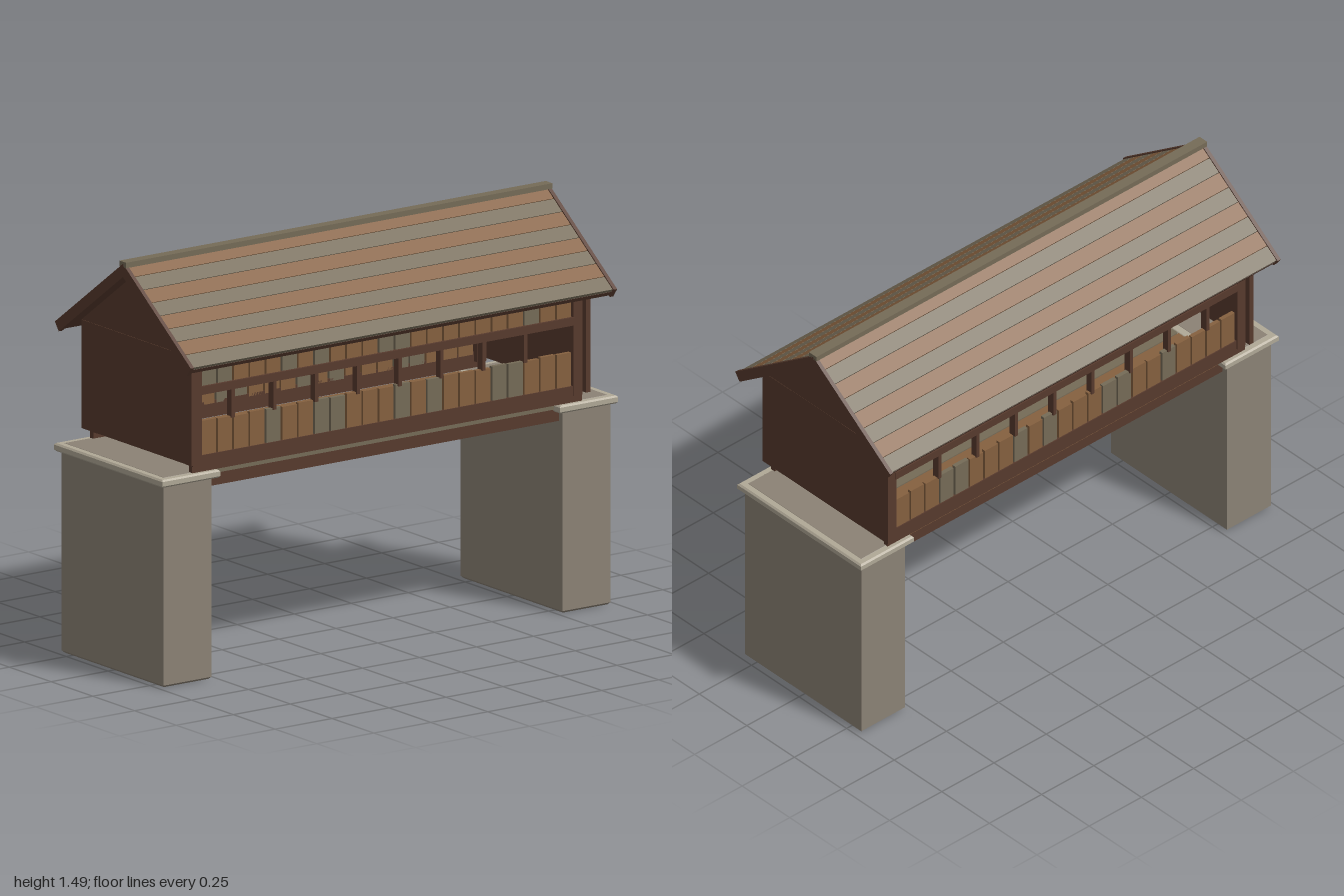
import * as THREE from 'three';

const mat = (name, color) => Object.assign(new THREE.MeshStandardMaterial({ color }), { name });

export function createModel() {
  const model = new THREE.Group();
  model.name = 'coveredBridge';
  const timber = mat('dark timber', 0x573a2d);
  const brown = mat('brown board', 0x85603f);
  const olive = mat('weathered board', 0x756b57);
  const stone = mat('pier stone', 0x8b8275);
  const capStone = mat('cap stone', 0xb0a896);

  // box given by its limits on each axis
  const box = (name, m, x0, x1, y0, y1, z0, z1, parent = model) => {
    const mesh = new THREE.Mesh(new THREE.BoxGeometry(x1 - x0, y1 - y0, z1 - z0), m);
    mesh.position.set((x0 + x1) / 2, (y0 + y1) / 2, (z0 + z1) / 2);
    mesh.name = name;
    parent.add(mesh);
    return mesh;
  };

  // block with small bevels on all edges, standing on y0
  const bevelBlock = (name, m, cx, w, y0, y1, d, b) => {
    const s = new THREE.Shape();
    const hx = w / 2 - b, hz = d / 2 - b;
    s.moveTo(-hx, -hz).lineTo(hx, -hz).lineTo(hx, hz).lineTo(-hx, hz).closePath();
    const g = new THREE.ExtrudeGeometry(s, {
      depth: y1 - y0 - 2 * b, bevelEnabled: true, bevelThickness: b, bevelSize: b, bevelSegments: 1,
    });
    g.rotateX(-Math.PI / 2);
    const mesh = new THREE.Mesh(g, m);
    mesh.position.set(cx, y0 + b, 0);
    mesh.name = name;
    model.add(mesh);
  };

  // piers with caps; the pier core shows just above the cap
  for (const s of [-1, 1]) {
    bevelBlock('pier', stone, s * 0.875, 0.21, 0, 0.767, 0.61, 0.008);
    bevelBlock('pierCap', capStone, s * 0.8725, 0.255, 0.737, 0.766, 0.65, 0.006);
  }

  // stringers and lengthwise deck planks
  for (const z of [-0.26, 0, 0.26]) box('stringer', timber, -0.775, 0.775, 0.7, 0.746, z - 0.023, z + 0.023);
  for (let i = 0; i < 8; i++) {
    const z = -0.29 + i * 0.0725;
    box('deckPlank', i % 2 ? olive : brown, -0.77, 0.77, 0.746, 0.764, z + 0.002, z + 0.0705);
  }

  // side walls
  const tones = [0, 0, 0, 0, 1, 0, 0, 1, 1, 0, 0, 0, 1, 0, 1, 0, 0, 0, 1, 1, 0, 0, 0];
  for (const s of [-1, 1]) {
    const wall = new THREE.Group();
    wall.name = s > 0 ? 'frontWall' : 'backWall';
    model.add(wall);
    const part = (name, m, x0, x1, y0, y1, za, zb) =>
      box(name, m, x0, x1, y0, y1, Math.min(s * za, s * zb), Math.max(s * za, s * zb), wall);
    part('sill', timber, -0.855, 0.855, 0.766, 0.825, 0.286, 0.306);
    part('rail', timber, -0.82, 0.82, 1.048, 1.078, 0.285, 0.312);
    part('topPlate', timber, -0.855, 0.855, 1.15, 1.185, 0.27, 0.3);
    for (const e of [-1, 1]) part('cornerPost', timber, e * 0.835 - 0.02, e * 0.835 + 0.02, 0.79, 1.185, 0.267, 0.31);
    // siding boards below and above the opening
    for (let i = 0; i < 23; i++) {
      const x = -0.814 + i * 0.0708;
      part('lowerBoard', tones[i] ? olive : brown, x + 0.004, x + 0.0668, 0.815, 0.95 - (i % 3) * 0.002, 0.286, 0.302);
      part('upperBoard', tones[(i + 7) % 23] ? olive : brown, x + 0.004, x + 0.0668, 1.055, 1.17, 0.286, 0.302);
    }
    // thin posts in the opening
    for (let i = 1; i < 9; i++) {
      const x = -0.86 + i * 0.1833;
      part('windowPost', timber, x - 0.007, x + 0.007, 0.943, 1.05, 0.28, 0.308);
    }
  }

  // end walls with gables
  const gable = new THREE.Shape();
  gable.moveTo(-0.33, 1.198).lineTo(0.33, 1.198).lineTo(0, 1.44).closePath();
  for (const s of [-1, 1]) {
    box('endWall', timber, s * 0.865 - 0.01, s * 0.865 + 0.01, 0.8, 1.197, -0.33, 0.33);
    const g = new THREE.ExtrudeGeometry(gable, { depth: 0.02, bevelEnabled: false });
    g.rotateY(Math.PI / 2);
    const mesh = new THREE.Mesh(g, timber);
    mesh.position.x = s * 0.865 - 0.01;
    mesh.name = 'gable';
    model.add(mesh);
  }

  // roof slopes: local z runs down the slope from the ridge
  const pitch = Math.atan(0.73), len = 0.5;
  for (const s of [-1, 1]) {
    const slope = new THREE.Group();
    slope.name = s > 0 ? 'frontRoof' : 'backRoof';
    const tilt = new THREE.Group();
    tilt.rotation.x = pitch;
    slope.add(tilt);
    slope.position.y = 1.48;
    if (s < 0) slope.rotation.y = Math.PI;
    model.add(slope);
    box('roofDeck', timber, -0.92, 0.92, -0.034, -0.016, 0, len, tilt);
    for (let i = 0; i < 8; i++) {
      const w = len / 8;
      box('roofPlank', i % 2 ? olive : brown, -0.92, 0.92, -0.018, -0.004, i * w + 0.001, (i + 1) * w - 0.001, tilt);
    }
    for (const e of [-1, 1]) box('bargeBoard', timber, e * 0.9275 - 0.0075, e * 0.9275 + 0.0075, -0.039, 0, 0, len + 0.004, tilt);
  }
  box('ridgeCap', olive, -0.935, 0.935, 1.468, 1.488, -0.02, 0.02);

  return model;
}
